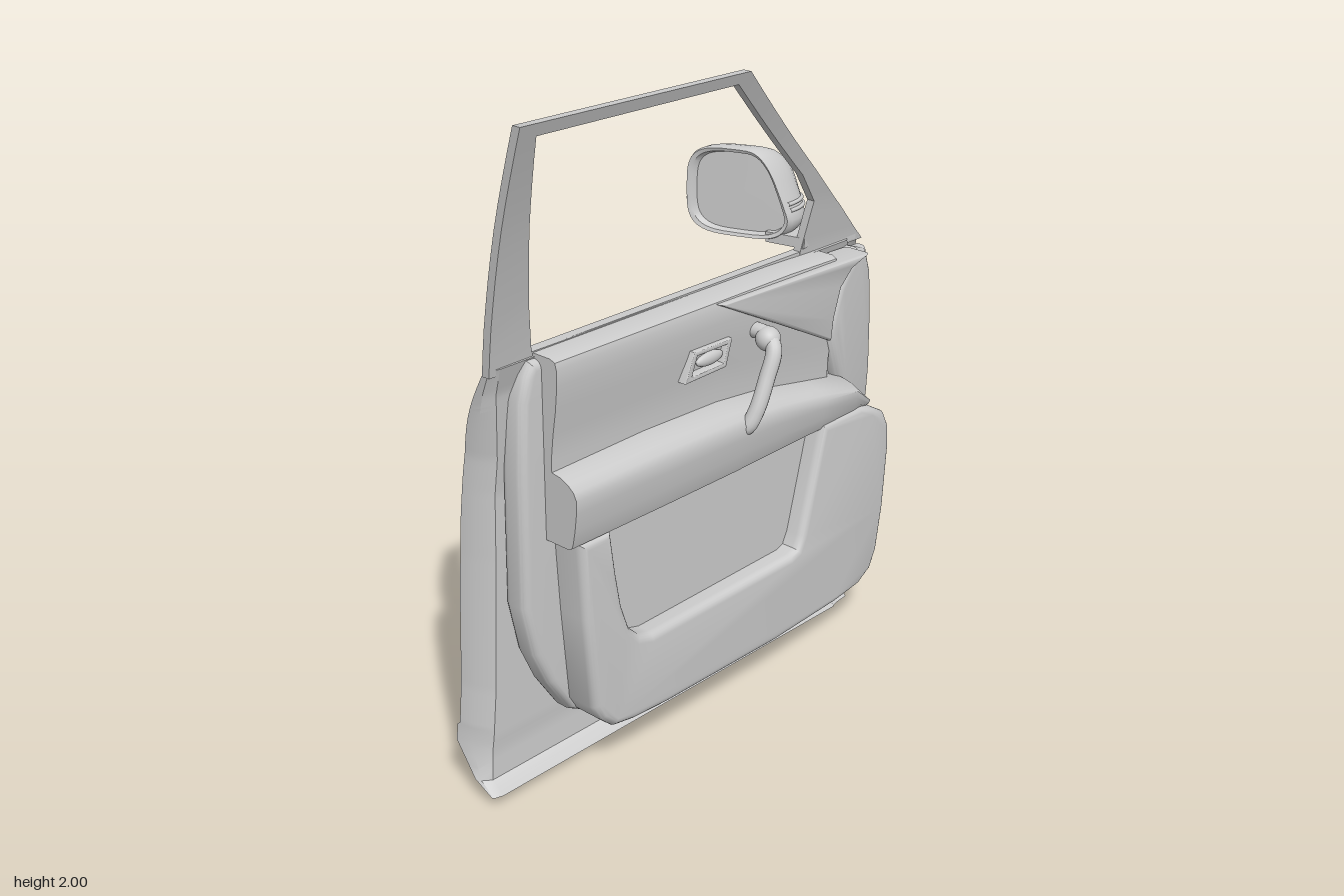
import * as THREE from 'three';
import { toCreasedNormals } from 'three/addons/utils/BufferGeometryUtils.js';

const grey = new THREE.MeshStandardMaterial({ color: 0xcccccc, side: THREE.DoubleSide });

// Linear lookup in a table of [key, value] pairs with rising keys
function at(table, k) {
  for (let i = 1; i < table.length; i++) {
    const [k0, v0] = table[i - 1], [k1, v1] = table[i];
    if (k <= k1) return v0 + (v1 - v0) * Math.max(0, (k - k0) / (k1 - k0));
  }
  return table[table.length - 1][1];
}

// Surface through closed rings of [x, y, z] points, capped at both ends
function loft(rings, crease = 0.6) {
  const centre = r => {
    const c = [0, 1, 2].map(a => r.reduce((s, p) => s + p[a], 0) / r.length);
    return r.map(() => c);
  };
  const rows = [centre(rings[0]), ...rings, centre(rings[rings.length - 1])];
  const n = rows[0].length, index = [];
  for (let i = 0; i < rows.length - 1; i++)
    for (let j = 0; j < n; j++) {
      const k = (j + 1) % n, a = i * n + j, b = i * n + k;
      index.push(a, b, b + n, a, b + n, a + n);
    }
  const g = new THREE.BufferGeometry();
  g.setAttribute('position', new THREE.Float32BufferAttribute(rows.flat(2), 3));
  g.setIndex(index);
  return toCreasedNormals(g, crease);
}

const vec2 = pts => pts.map(p => new THREE.Vector2(p[0], p[1]));

// Flat panel with rounded edges, filling z0 to z1
function pad(outline, z0, z1, bevel, hole) {
  const shape = new THREE.Shape(vec2(outline));
  if (hole) shape.holes.push(new THREE.Path(vec2(hole)));
  const g = new THREE.ExtrudeGeometry(shape, {
    depth: z1 - z0 - 2 * bevel, bevelEnabled: bevel > 0, bevelThickness: bevel,
    bevelSize: bevel, bevelOffset: -bevel, bevelSegments: 5
  });
  g.translate(0, 0, z0 + bevel);
  return toCreasedNormals(g, 0.6);
}

// Splits every edge of an outline into n pieces and returns to the start
function dense(pts, n) {
  const out = pts.flatMap((p, i) => {
    const q = pts[(i + 1) % pts.length];
    return Array.from({ length: n }, (_, k) => [p[0] + (q[0] - p[0]) * k / n, p[1] + (q[1] - p[1]) * k / n]);
  });
  return [...out, pts[0]];
}

function tube(points, radius) {
  const curve = new THREE.CatmullRomCurve3(points.map(p => new THREE.Vector3(...p)));
  return new THREE.TubeGeometry(curve, 40, radius, 14);
}

// Outer skin with turned-in front and rear edges and an inner face
function shellGeometry() {
  const left = [[0, -.84], [.3, -.81], [.7, -.79], [1, -.78], [1.28, -.8]];
  const right = [[0, .75], [.02, .77], [.25, .81], [.55, .84], [.8, .85], [1, .84], [1.15, .81], [1.22, .78], [1.28, .74]];
  const skin = [[0, .06], [.03, -.01], [.12, -.09], [.17, -.09], [.178, -.08], [.6, -.083], [.8, -.077], [.95, -.063], [1.05, -.046], [1.13, -.024], [1.21, .016], [1.28, .06]];
  const inner = [[0, .075], [.03, .03], [.12, .025], [.16, .028], [.9, .028], [1.2, .06], [1.28, .085]];
  const ys = [0, .015, .03, .06, .09, .12, .145, .17, .178];
  for (let i = 1; i <= 72; i++) ys.push(.178 + 1.102 * i / 72);
  const cols = 110;
  const rings = ys.map(y => {
    const xl = at(left, y), xr = at(right, y), zi = at(inner, y);
    // average over a short span above the sill for a smooth curve
    const soft = y > .25 ? Math.min(.04, 1.28 - y) : 0;
    const zs = [-1, -.5, 0, .5, 1].reduce((s, k) => s + at(skin, y + k * soft) / 5, 0);
    const p = (x, z) => [x, y + .016 - .019 * x, z];
    const ring = [];
    for (let j = 0; j <= cols; j++) {
      const x = xr + (xl - xr) * j / cols;
      // hollow behind the outside handle
      const d = Math.min(1, Math.hypot((x + .52) / .11, (y - 1.07) / .09));
      ring.push(p(x, zs + .042 * (1 - d * d)));
    }
    const edge = (x, t) => p(x, zs + (zi - zs) * t);
    ring.push(edge(xl + .005, .5), edge(xl + .03, 1));
    ring.push(edge(xr - .085, 1), edge(xr - .075, .65), edge(xr - .055, .35), edge(xr - .025, .14), edge(xr - .005, .05));
    return ring;
  });
  return loft(rings, .5);
}

// Window frame, leaning inwards towards the roof
function frameGeometry() {
  const outer = [[-.855, 2], [-.02, 1.968], [.42, 1.578], [.6, 1.41], [.745, 1.265], [-.8, 1.29]];
  const hole = [[-.79, 1.962], [-.055, 1.937], [.37, 1.567], [.46, 1.46], [.44, 1.29], [-.655, 1.322]];
  const lean = [[1.25, .07], [1.31, .078], [1.45, .106], [1.6, .144], [1.7, .173], [1.8, .206], [1.9, .242], [2, .28]];
  const inside = dense(hole, 10);
  const point = ([x, y], back) => [x, y, at(lean, y) - back];
  return loft(dense(outer, 10).map((o, i) =>
    [point(o, .026), point(o, 0), point(inside[i], 0), point(inside[i], .026)]), .5);
}

// Inner panel carrying the trim, its back edge kept inside the curved skin
function innerPanelGeometry() {
  const g = pad([[-.68, 1.305], [-.7, 1.27], [-.72, 1.2], [-.73, 1], [-.735, .6], [-.7, .44], [-.65, .33], [-.57, .21], [-.48, .16],
    [.6, .14], [.7, .2], [.74, .4], [.76, .7], [.765, 1], [.755, 1.15], [.73, 1.25]], .025, .11, .025);
  const pos = g.attributes.position;
  for (let i = 0; i < pos.count; i++)
    pos.setZ(i, Math.max(pos.getZ(i), at([[1.1, .025], [1.31, .085]], pos.getY(i))));
  return g;
}

// Mirror: places a point of its rounded outline, pushed out from the glass
function mirrorPoint(c, h, out) {
  const y = 1.45 + .138 * h;
  const z = -.122 + .16 * c - Math.max(0, c) * Math.max(0, y - 1.38) * .4;
  return [.335 + (z + .28) * .35 + out * (1 + .15 * c), y, z];
}
const housing = [[1, .01], [1, .035], [.97, .06], [.9, .085], [.78, .108], [.6, .124], [.35, .133]];

// Glass set in a rim, then a domed housing
function mirrorGeometry() {
  const steps = [[.05, .02], [.86, .02], [.9, 0], [.97, -.004], ...housing, [.1, .136]];
  const power = v => Math.sign(v) * Math.abs(v) ** .55;
  return loft(steps.map(([s, out]) => Array.from({ length: 48 }, (_, j) => {
    const a = j / 48 * Math.PI * 2;
    return mirrorPoint(-power(Math.cos(a)) * s, power(Math.sin(a)) * s, out);
  })), .7);
}

// Raised line around the housing at height h
function mirrorSeam(h) {
  const side = sign => housing.map(([s, out]) =>
    mirrorPoint(sign * s * (1 - (Math.abs(h) / s) ** 3.64) ** .275, h, out));
  return tube([...side(-1), ...side(1).reverse()], .006);
}

// Sweep of a top-to-bottom profile along x; stations give [x, top, bottom, front z]
function sweep(stations, profile) {
  return loft(stations.map(([x, top, bottom, z]) =>
    profile.map(([h, d]) => [x, bottom + (top - bottom) * h, .06 + (z - .06) * d])), .7);
}

export function createModel() {
  const door = new THREE.Group();
  door.name = 'carDoor';
  const add = (name, geometry) => {
    const m = new THREE.Mesh(geometry, grey);
    m.name = name;
    door.add(m);
    return m;
  };

  add('doorShell', shellGeometry());
  add('windowFrame', frameGeometry());
  add('innerPanel', innerPanelGeometry());

  // Sealing strip along the foot of the window
  const strip = add('beltStrip', new THREE.BoxGeometry(1.5, .022, .03));
  strip.position.set(-.04, 1.298, .06);
  strip.rotation.z = -.019;

  // Upper trim, hollowed towards the armrest
  add('upperTrim', sweep([[-.65, 1.318, .96, .165], [0, 1.303, .95, .165], [.3, 1.296, .88, .16], [.52, 1.285, .84, .155]],
    [[1, 0], [1, .8], [.98, .95], [.93, 1], [.8, 1], [.6, .93], [.4, .82], [.2, .74], [0, .74], [0, 0]]));
  add('upperTrimWedge', pad([[-.03, 1.293], [.24, 1.155], [.48, 1.03], [.49, 1.1], [.52, 1.19], [.57, 1.235], [.65, 1.265]], .08, .178, .015));

  // Armrest, falling towards the front
  add('armrest', sweep([[-.65, .995, .785, .228], [-.3, .995, .782, .235], [0, .982, .778, .235], [.2, .957, .775, .228], [.4, .915, .77, .22], [.57, .88, .765, .213], [.65, .8, .765, .2]],
    [[1, 0], [1, .4], [.97, .65], [.91, .82], [.83, .94], [.73, 1], [.55, .99], [.3, .95], [.1, .9], [.03, .87], [0, .8], [0, 0]]));

  // Front end of the trim, turned towards the hinge side
  const frontTrim = add('frontTrim', pad([[.48, 1.03], [.49, 1.1], [.52, 1.18], [.57, 1.23], [.65, 1.265], [.7, 1.25], [.735, 1.17], [.75, 1.05],
    [.755, .85], [.745, .75], [.72, .7], [.62, .7], [.55, .86]], .08, .162, .03));
  frontTrim.rotation.y = .2;
  frontTrim.position.z = .1;

  // Lower trim with a map pocket cut down from the armrest
  const pocket = [[-.5, .79], [-.48, .65], [-.46, .54], [-.43, .455], [-.39, .415], [-.34, .4], [.27, .4], [.3, .41], [.32, .45], [.41, .79]];
  add('lowerTrim', pad([...pocket, [.6, .785], [.66, .765], [.72, .73], [.745, .68], [.75, .6], [.735, .4], [.71, .25], [.68, .19], [.62, .155],
    [.5, .14], [.2, .13], [-.28, .14], [-.42, .15], [-.5, .165], [-.55, .21], [-.58, .26], [-.605, .55], [-.62, .79]], .06, .212, .025));
  add('pocketFloor', pad(pocket, .08, .15, 0));

  // Release lever in its surround
  add('leverSurround', pad([[-.17, 1.1], [0, 1.1], [.025, 1.18], [-.135, 1.185]], .12, .176, .004,
    [[-.143, 1.115], [-.012, 1.115], [.003, 1.167], [-.12, 1.17]]));
  const lever = add('releaseLever', new THREE.SphereGeometry(1, 24, 12));
  lever.scale.set(.055, .02, .014);
  lever.position.set(-.055, 1.14, .16);

  // Grab handle
  add('grabHandle', tube([[.145, 1.165, .14], [.145, 1.16, .2], [.135, 1.13, .235], [.1, 1.05, .24], [.06, .96, .236], [.04, .915, .22], [.035, .9, .18]], .024));
  const knob = add('grabHandleEnd', new THREE.SphereGeometry(.037, 24, 14));
  knob.position.set(.145, 1.15, .205);

  // Outside handle
  const handle = add('outsideHandle', tube([[-.72, 0, -.035], [-.695, 0, -.06], [-.62, 0, -.077], [-.52, 0, -.083], [-.42, 0, -.077], [-.345, 0, -.06], [-.32, 0, -.035]], .015));
  handle.scale.y = 1.6;
  handle.position.y = 1.09;

  // Door mirror on its flat arm
  add('mirror', mirrorGeometry());
  add('mirrorUpperSeam', mirrorSeam(-.14));
  add('mirrorLowerSeam', mirrorSeam(-.27));
  const arm = add('mirrorArm', new THREE.BoxGeometry(.11, .032, .13));
  arm.position.set(.49, 1.325, .01);
  arm.rotation.y = .2;

  return door;
}
